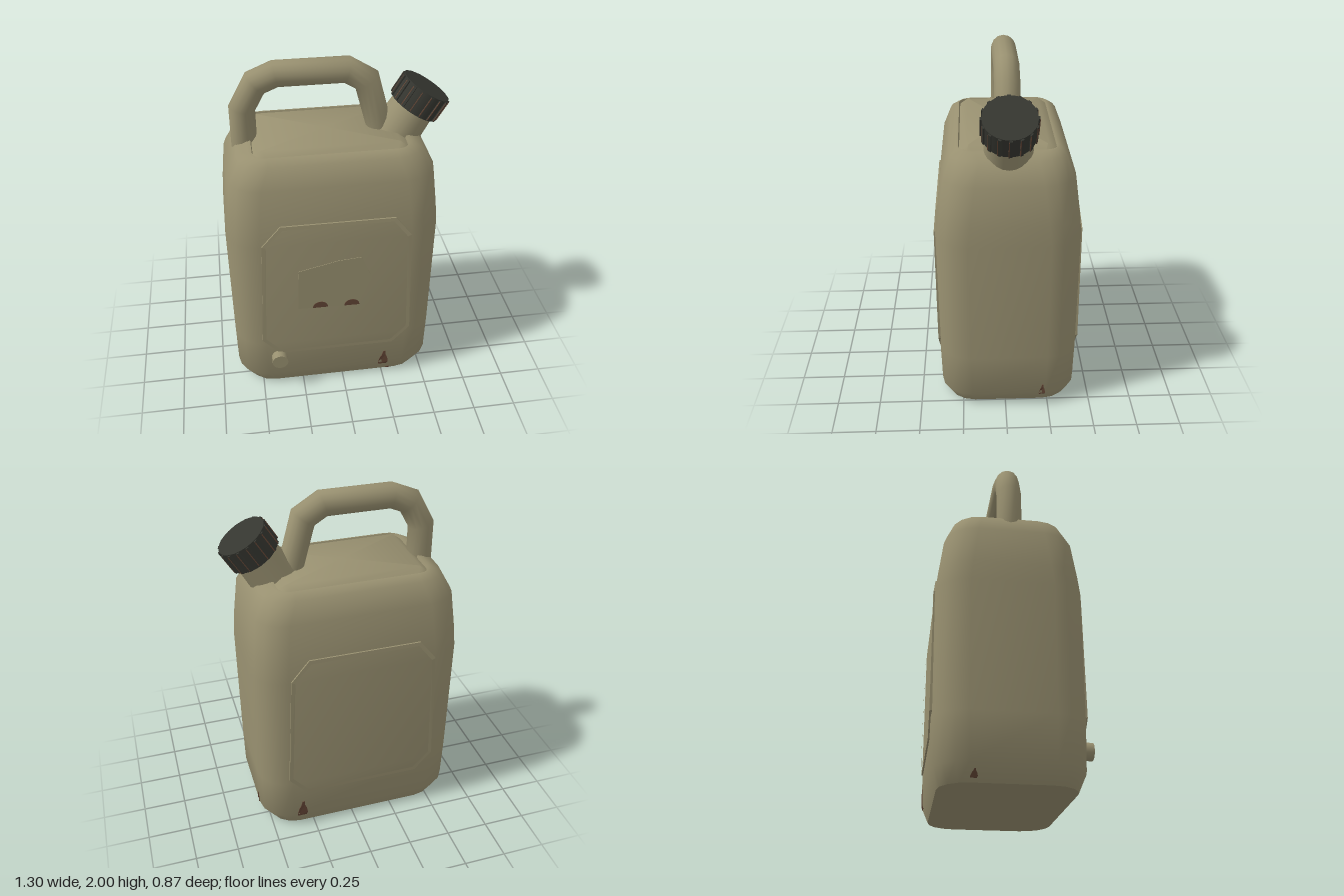
import * as THREE from 'three';
import { toCreasedNormals } from 'three/addons/utils/BufferGeometryUtils.js';

const CX = -0.045, CZ = -0.02; // centre of the can body

// Body profile: height, half width, half depth, corner radius
const PROFILE = [
  [0, 0.54, 0.36, 0.16],
  [0.09, 0.6, 0.395, 0.18],
  [0.35, 0.604, 0.402, 0.18],
  [1.08, 0.61, 0.405, 0.18],
  [1.2, 0.602, 0.393, 0.18],
  [1.42, 0.58, 0.365, 0.18],
  [1.54, 0.515, 0.32, 0.16],
  [1.568, 0.45, 0.28, 0.1],
  [1.57, 0.43, 0.268, 0.07],
  [1.555, 0.425, 0.262, 0.065], // groove round the top plate
  [1.585, 0.38, 0.218, 0.008],
];

// Half width (k = 1) or half depth (k = 2) of the body at height y
function halfSize(y, k) {
  let i = 0;
  while (i < 6 && y > PROFILE[i + 1][0]) i++;
  const a = PROFILE[i], b = PROFILE[i + 1];
  return a[k] + (b[k] - a[k]) * (y - a[0]) / (b[0] - a[0]);
}

// Horizontal rounded rectangle
function roundedRing([y, hx, hz, r], seg = 4) {
  const pts = [];
  [[1, 1], [-1, 1], [-1, -1], [1, -1]].forEach(([sx, sz], q) => {
    for (let i = 0; i <= seg; i++) {
      const a = (q + i / seg) * Math.PI / 2;
      pts.push(new THREE.Vector3(sx * (hx - r) + r * Math.cos(a), y, sz * (hz - r) + r * Math.sin(a)));
    }
  });
  return pts;
}

// Closed skin through rings, capped at both ends
function loft(rings, crease) {
  const n = rings[0].length, m = rings.length, pos = [], idx = [];
  rings.forEach(ring => ring.forEach(p => pos.push(p.x, p.y, p.z)));
  for (const ring of [rings[0], rings[m - 1]]) {
    const c = new THREE.Vector3();
    ring.forEach(p => c.addScaledVector(p, 1 / n));
    pos.push(c.x, c.y, c.z);
  }
  for (let j = 0; j < n; j++) {
    const k = (j + 1) % n;
    for (let i = 0; i < m - 1; i++) {
      const a = i * n + j, b = i * n + k, c = a + n, d = b + n;
      idx.push(a, c, b, b, c, d);
    }
    idx.push(m * n, j, k, m * n + 1, (m - 1) * n + k, (m - 1) * n + j);
  }
  const geo = new THREE.BufferGeometry();
  geo.setAttribute('position', new THREE.Float32BufferAttribute(pos, 3));
  geo.setIndex(idx);
  return toCreasedNormals(geo, crease);
}

// Mitred tube along a path lying in the xy plane
function mitredTube(path, r, sides) {
  const P = path.map(p => new THREE.Vector2(...p));
  const dir = i => P[i + 1].clone().sub(P[i]).normalize();
  return loft(P.map((p, i) => {
    const d0 = dir(Math.max(i - 1, 0)), d1 = dir(Math.min(i, P.length - 2));
    const d = d0.clone().add(d1).normalize(), s = r / d.dot(d1), ring = [];
    for (let j = 0; j < sides; j++) {
      const a = j / sides * Math.PI * 2, u = Math.cos(a) * s;
      ring.push(new THREE.Vector3(p.x + d.y * u, p.y - d.x * u, Math.sin(a) * r));
    }
    return ring;
  }), 1.2);
}

const toShape = pts => new THREE.Shape(pts.map(p => new THREE.Vector2(...p)));

// Thin plate laid on a wall of the body, following its slope
function wallPlate(shape, depth, k = 2) {
  const geo = new THREE.ExtrudeGeometry(shape, { depth: depth + 0.01, bevelEnabled: false });
  const p = geo.attributes.position;
  for (let i = 0; i < p.count; i++) p.setZ(i, p.getZ(i) - 0.01 + halfSize(p.getY(i), k));
  geo.computeVertexNormals();
  return geo;
}

export function createModel() {
  const model = new THREE.Group();
  const mat = (name, color) => Object.assign(new THREE.MeshStandardMaterial({ color }), { name });
  const khaki = mat('khaki', 0x989070);
  const dark = mat('darkCap', 0x353630);
  const rust = mat('rust', 0x624535);
  const add = (parent, name, geo, material) => {
    const mesh = new THREE.Mesh(geo, material);
    mesh.name = name;
    parent.add(mesh);
    return mesh;
  };

  // Body
  const can = new THREE.Group();
  can.name = 'can';
  can.position.set(CX, 0, CZ);
  model.add(can);
  add(can, 'body', loft(PROFILE.map(p => roundedRing(p)), 0.75), khaki);

  // Raised panel outline on front and back
  const outline = (d) => toShape([
    [-0.31 + d * 0.5, 1.207 - d], [0.335 - d * 0.5, 1.207 - d], [0.427 - d, 1.09 - d * 0.4],
    [0.45 - d, 0.39 + d * 0.4], [0.345 - d * 0.5, 0.272 + d], [-0.345 + d * 0.5, 0.272 + d],
    [-0.447 + d, 0.39 + d * 0.4], [-0.417 + d, 1.09 - d * 0.4],
  ]);
  const frame = outline(0);
  frame.holes.push(outline(0.022));
  const frameGeo = wallPlate(frame, 0.009);
  add(can, 'frontPanelRidge', frameGeo, khaki);
  add(can, 'backPanelRidge', frameGeo, khaki).rotation.y = Math.PI;

  // Worn label plate with rust at its lower edge
  add(can, 'labelPlate', wallPlate(toShape([
    [-0.22, 0.89], [-0.225, 0.612], [0.13, 0.602], [0.21, 0.8], [0.145, 0.957], [0.01, 0.945],
  ]), 0.003), khaki);
  for (const [x, y] of [[-0.095, 0.61], [0.092, 0.606]]) {
    const spot = new THREE.Shape();
    spot.absellipse(x, y, 0.045, 0.042, 0, Math.PI);
    add(can, 'labelRust', wallPlate(spot, 0.005), rust);
  }

  // Rust patches near the base: angle of the wall, position, size
  const patches = [
    ['frontRust', 0, 0.3, 0.07, 0.034, 0.115],
    ['frontBaseRust', 0, 0.335, 0.004, 0.014, 0.016],
    ['backRust', Math.PI, -0.37, 0.075, 0.034, 0.115],
    ['leftRust', Math.PI / 2, 0.195, 0.075, 0.02, 0.075],
    ['rightRust', -Math.PI / 2, -0.19, 0.02, 0.02, 0.04],
  ];
  for (const [name, angle, x, y, w, h] of patches) {
    const shape = toShape([
      [-0.9, 0], [0.7, 0], [0.9, 0.2], [0.75, 0.5], [0.4, 0.75], [0.35, 1], [-0.05, 1],
      [-0.3, 0.7], [-0.6, 0.55], [-0.95, 0.2],
    ].map(([u, v]) => [x + u * w, y + v * h]));
    const k = Math.abs(Math.sin(angle)) > 0.5 ? 1 : 2;
    add(can, name, wallPlate(shape, 0.004, k), rust).rotation.y = angle;
  }

  // Small round plug on the front
  const plug = add(model, 'plug', new THREE.CylinderGeometry(0.048, 0.048, 0.07, 20), khaki);
  plug.rotation.x = Math.PI / 2;
  plug.position.set(-0.395, 0.237, 0.398);

  // Handle
  const handle = add(model, 'handle', mitredTube([
    [-0.507, 1.46], [-0.507, 1.74], [-0.43, 1.882], [-0.32, 1.928],
    [0.07, 1.928], [0.18, 1.86], [0.25, 1.6], [0.275, 1.5],
  ], 0.072, 14), khaki);
  handle.position.z = CZ;

  // Tilted spout; its origin is the underside of the cap
  const spout = new THREE.Group();
  spout.name = 'spout';
  spout.position.set(0.448, 1.681, CZ);
  spout.rotation.z = -0.55;
  model.add(spout);
  add(spout, 'neck', new THREE.CylinderGeometry(0.126, 0.142, 0.3, 24), khaki).position.y = -0.14;
  add(spout, 'cap', new THREE.CylinderGeometry(0.144, 0.144, 0.138, 24), dark).position.y = 0.069;

  // Grip ribs round the cap, with worn edges on every rib
  const ribGeo = new THREE.BoxGeometry(0.016, 0.13, 0.018);
  const wearGeo = new THREE.BoxGeometry(0.004, 0.122, 0.005);
  for (let i = 0; i < 16; i++) {
    const rib = new THREE.Group();
    rib.name = 'capRib';
    rib.rotation.y = i / 16 * Math.PI * 2;
    add(rib, 'rib', ribGeo, dark).position.set(0.144, 0.069, 0);
    add(rib, 'ribWear', wearGeo, rust).position.set(0.151, 0.069, 0.008);
    spout.add(rib);
  }
  return model;
}
